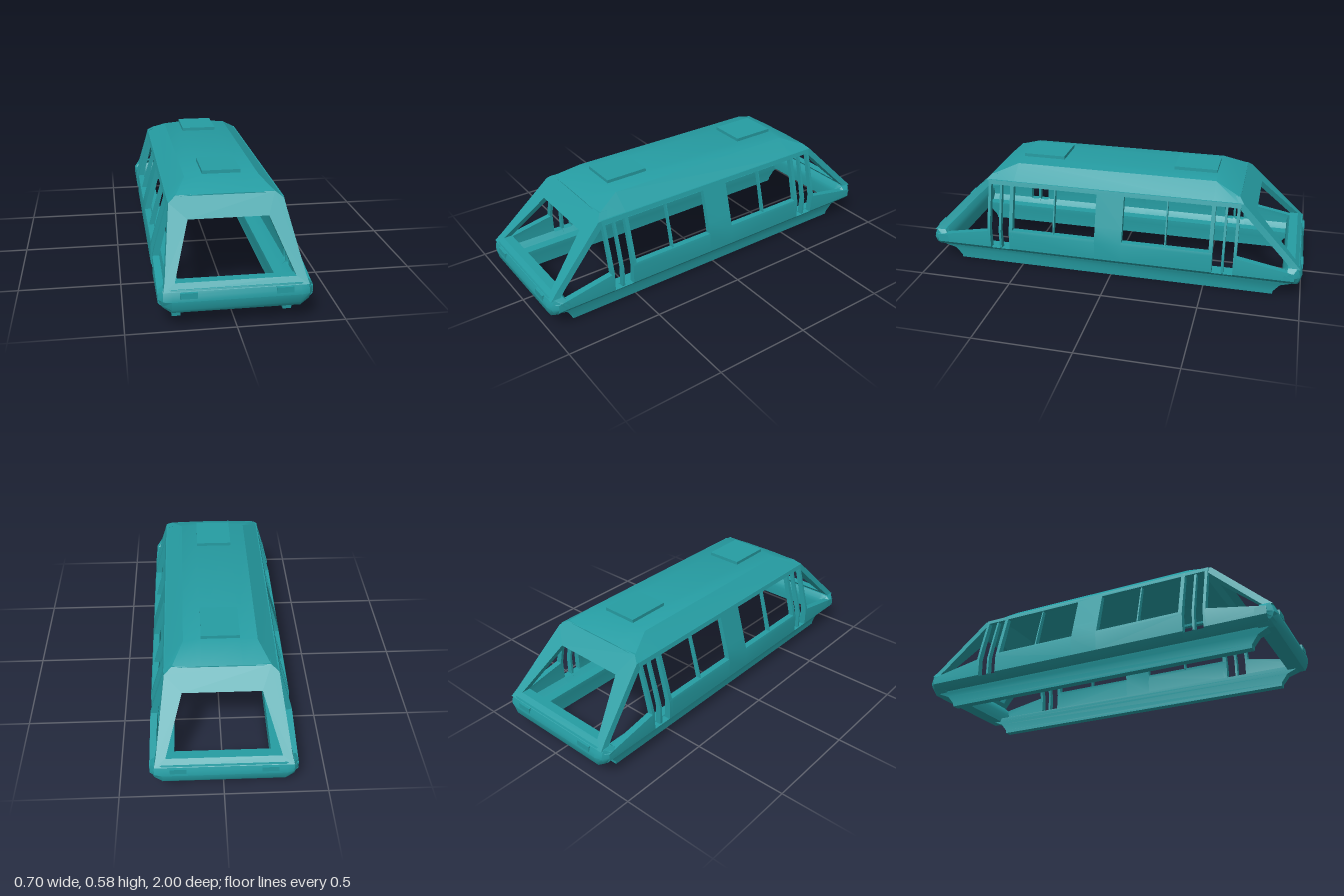
import * as THREE from 'three';
import { toCreasedNormals } from 'three/addons/utils/BufferGeometryUtils.js';

const paint = new THREE.MeshStandardMaterial({ color: 0x259ca2 });

function add(parent, name, geometry) {
  const mesh = new THREE.Mesh(geometry, paint);
  mesh.name = name;
  parent.add(mesh);
  return mesh;
}

// Solid through matching rings; each ring is an outer line followed by the reversed inner line.
function loft(rings) {
  const tris = [], m = rings[0].length, last = rings.length - 1;
  const quad = (a, b, c, d) => tris.push([a, b, c], [a, c, d]);
  for (let k = 0; k < last; k++) {
    for (let i = 0; i < m; i++) {
      const j = (i + 1) % m;
      quad(rings[k][i], rings[k][j], rings[k + 1][j], rings[k + 1][i]);
    }
  }
  for (let i = 0; i < m / 2 - 1; i++) {
    const a = rings[0], b = rings[last];
    quad(a[i + 1], a[i], a[m - 1 - i], a[m - 2 - i]);
    quad(b[i], b[i + 1], b[m - 2 - i], b[m - 1 - i]);
  }
  // Drop collapsed triangles and make the solid face outward
  const pos = [], n = new THREE.Vector3();
  let volume = 0;
  const solid = tris.map(t => t.map(p => new THREE.Vector3(...p))).filter(([a, b, c]) => {
    n.subVectors(b, a).cross(c.clone().sub(a));
    volume += a.dot(n);
    return n.length() > 1e-9;
  });
  for (const [a, b, c] of solid) {
    for (const p of volume > 0 ? [a, b, c] : [a, c, b]) pos.push(p.x, p.y, p.z);
  }
  const g = new THREE.BufferGeometry();
  g.setAttribute('position', new THREE.Float32BufferAttribute(pos, 3));
  return toCreasedNormals(g, 0.5);
}

// Side wall section as [y, outer x, inner x]
const WALL = [
  [0.09, 0.30, 0.27], [0.103, 0.33, 0.29], [0.125, 0.35, 0.315],
  [0.22, 0.35, 0.318], [0.30, 0.329, 0.299], [0.49, 0.275, 0.25],
];

function wallX(y, column) {
  for (let i = 1; i < WALL.length; i++) {
    const a = WALL[i - 1], b = WALL[i];
    if (y <= b[0]) return a[column] + (b[column] - a[column]) * (y - a[0]) / (b[0] - a[0]);
  }
  return WALL[WALL.length - 1][column];
}

function wallRing(y0, y1, z, inset) {
  const ys = WALL.map(w => Math.min(y1, Math.max(y0, w[0])));
  return [
    ...ys.map(y => [wallX(y, 1) - inset, y, z]),
    ...ys.reverse().map(y => [wallX(y, 2) - inset * 0.5, y, z]),
  ];
}

// Piece of side wall from z0 to z1, with an optional different top at z1
function wall(y0, y1, z0, z1, endTop = y1, inset = 0) {
  return loft([wallRing(y0, y1, z0, inset), wallRing(y0, endTop, z1, inset)]);
}

function createSide() {
  const side = new THREE.Group();
  add(side, 'windowHeader', wall(0.468, 0.49, -0.67, 0.67));
  add(side, 'centrePost', wall(0.09, 0.49, -0.073, 0.073));
  for (const s of [-1, 1]) {
    add(side, 'windowSill', wall(0.09, 0.235, s * 0.07, s * 0.545));
    add(side, 'windowMullion', wall(0.23, 0.475, s * 0.297, s * 0.304, 0.475, 0.008));
    add(side, 'doorPost', wall(0.09, 0.49, s * 0.526, s * 0.546));
    add(side, 'doorSill', wall(0.09, 0.12, s * 0.54, s * 0.66));
    add(side, 'doorBar', wall(0.11, 0.475, s * 0.594, s * 0.606, 0.475, 0.008));
    add(side, 'cabPost', wall(0.09, 0.49, s * 0.653, s * 0.668));
    add(side, 'cabSill', wall(0.09, 0.222, s * 0.66, s * 0.96, 0.165));
  }
  // Running skirt with flared ends: y, inner x, outer x, half length
  const rows = [
    [0, 0.24, 0.28, 0.86], [0.018, 0.24, 0.282, 0.862],
    [0.06, 0.238, 0.287, 0.895], [0.08, 0.236, 0.296, 0.945], [0.1, 0.236, 0.302, 0.97],
  ];
  add(side, 'skirt', loft(rows.map(([y, xi, xo, z]) =>
    [[xo, y, -z], [xo, y, z], [xi, y, z], [xi, y, -z]])));
  return side;
}

// Sloped windscreen surround: flat outline with a hole, sheared back along z
function windscreenFrame() {
  const mirror = half => [...half, ...half.map(([x, y]) => [-x, y]).reverse()]
    .map(p => new THREE.Vector2(...p));
  const shape = new THREE.Shape(mirror([[0.327, 0.183], [0.317, 0.22], [0.272, 0.487], [0.235, 0.513]]));
  shape.holes.push(new THREE.Path(mirror([[0.273, 0.213], [0.19, 0.425]])));
  const g = new THREE.ExtrudeGeometry(shape, { depth: 0.045, bevelEnabled: false });
  const p = g.attributes.position;
  for (let i = 0; i < p.count; i++) p.setZ(i, p.getZ(i) + 1.126 - p.getY(i));
  return toCreasedNormals(g, 0.5);
}

function bumperRing(x, bottom, top, front) {
  const ys = [bottom, bottom + 0.3 * (0.14 - bottom), 0.14, 0.165, top];
  const outer = [0.022, 0.01, 0, 0.006, 0.017], inner = [0.9, 0.9, 0.9, 0.905, 0.925];
  return [
    ...ys.map((y, i) => [x, y, front - outer[i]]),
    ...ys.map((y, i) => [x, y, inner[i]]).reverse(),
  ];
}

function createEnd() {
  const end = new THREE.Group();
  add(end, 'windscreenFrame', windscreenFrame());
  const stations = [[0.35, 0.125, 0.168, 0.96], [0.328, 0.104, 0.188, 0.99], [0.29, 0.08, 0.192, 1]];
  add(end, 'bumper', loft([
    ...stations.map(([x, ...rest]) => bumperRing(-x, ...rest)),
    ...stations.reverse().map(([x, ...rest]) => bumperRing(x, ...rest)),
  ]));
  for (const s of [-1, 1]) {
    add(end, 'headlight', new THREE.BoxGeometry(0.078, 0.028, 0.025))
      .position.set(s * 0.215, 0.167, 0.987);
  }
  const hatch = add(end, 'roofHatch', new THREE.BoxGeometry(0.188, 0.025, 0.225));
  hatch.position.set(0, 0.5725, 0.4125);
  return end;
}

// Faceted roof shell dropping toward both ends
function roof() {
  const middle = [[0.275, 0.485], [0.18, 0.56], [0.095, 0.568]];
  const tip = [[0.275, 0.485], [0.238, 0.508], [0.1, 0.514]];
  const ring = (half, z) => {
    const line = [...half, ...half.map(([x, y]) => [-x, y]).reverse()];
    return [
      ...line.map(([x, y]) => [x, y, z]),
      ...line.reverse().map(([x, y]) => [x * 0.92, y - (y > 0.49 ? 0.022 : 0.005), z]),
    ];
  };
  return loft([ring(tip, -0.662), ring(middle, -0.53), ring(middle, 0.53), ring(tip, 0.662)]);
}

export function createModel() {
  const model = new THREE.Group();
  model.name = 'railCarBody';
  add(model, 'roof', roof());
  // The body repeats under a half turn
  for (const turn of [0, Math.PI]) {
    const side = createSide(), end = createEnd();
    side.name = turn ? 'rightSide' : 'leftSide';
    end.name = turn ? 'rearEnd' : 'frontEnd';
    side.rotation.y = end.rotation.y = turn;
    model.add(side, end);
  }
  return model;
}
